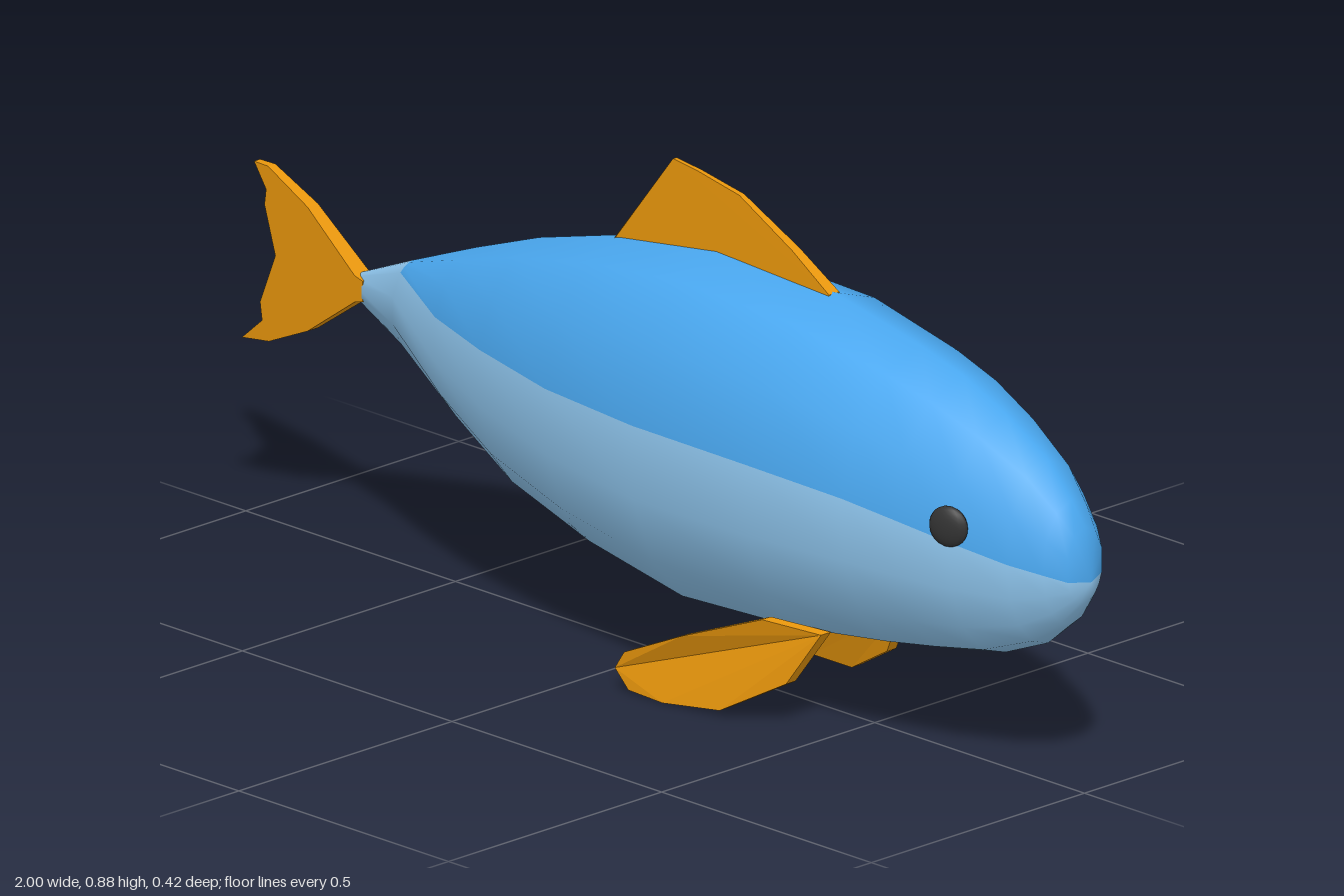
import * as THREE from 'three';

const paint = (color) => new THREE.MeshStandardMaterial({ color });

function named(name, geometry, material) {
  const mesh = new THREE.Mesh(geometry, material);
  mesh.name = name;
  return mesh;
}

// Body: elliptical rings along x, divided into back and belly at the colour line
function bodyGeometries() {
  // x, bottom, top, half width, colour line height, sideways drift
  const stations = [
    [-0.73, 0.445, 0.49, 0.014, 0.485, 0],
    [-0.60, 0.39, 0.545, 0.052, 0.53, 0],
    [-0.45, 0.30, 0.605, 0.104, 0.505, 0],
    [-0.30, 0.22, 0.66, 0.145, 0.495, 0],
    [-0.10, 0.165, 0.715, 0.187, 0.487, 0],
    [0.13, 0.125, 0.747, 0.21, 0.485, 0],
    [0.40, 0.137, 0.737, 0.21, 0.482, -0.003],
    [0.60, 0.162, 0.692, 0.187, 0.465, -0.009],
    [0.70, 0.178, 0.663, 0.165, 0.447, -0.011],
    [0.80, 0.197, 0.62, 0.136, 0.425, -0.012],
    [0.90, 0.238, 0.563, 0.097, 0.40, -0.013],
    [0.955, 0.285, 0.505, 0.067, 0.387, -0.014],
    [0.986, 0.33, 0.465, 0.042, 0.375, -0.015],
    [1.0, 0.37, 0.37, 0, 0.37, -0.016],
  ];
  const upper = 6, lower = 8, around = upper + lower, last = stations.length - 1;
  const positions = [];
  for (const [x, bottom, top, width, line, drift] of stations) {
    const mid = (top + bottom) / 2, half = (top - bottom) / 2;
    const start = half ? Math.asin((line - mid) / half) : 0;
    for (let j = 0; j < around; j++) {
      const angle = j < upper
        ? start + (Math.PI - 2 * start) * j / upper
        : Math.PI - start + (Math.PI + 2 * start) * (j - upper) / lower;
      positions.push(x, mid + half * Math.sin(angle), drift + width * Math.cos(angle));
    }
  }
  // The nose ring is a single shared point
  const id = (i, j) => i * around + (i === last ? 0 : j % around);
  const back = [], belly = [];
  for (let i = 0; i < last; i++) {
    for (let j = 0; j < around; j++) {
      const target = j < upper && i > 0 ? back : belly;
      target.push(id(i, j), id(i + 1, j), id(i, j + 1));
      if (i < last - 1) target.push(id(i + 1, j), id(i + 1, j + 1), id(i, j + 1));
    }
  }
  // Normals come from the whole skin, so shading is smooth over the colour line
  const whole = new THREE.BufferGeometry();
  whole.setAttribute('position', new THREE.Float32BufferAttribute(positions, 3));
  whole.setIndex([...back, ...belly]);
  whole.computeVertexNormals();
  return [back, belly].map((index) => {
    const part = whole.clone();
    part.setIndex(index);
    return part;
  });
}

// Fin: extruded outline, with half thickness and sideways bend given by rules
function finGeometry(outline, halfThickness, bend) {
  const shape = new THREE.Shape(outline.map(([x, y]) => new THREE.Vector2(x, y)));
  const geometry = new THREE.ExtrudeGeometry(shape, { depth: 1, bevelEnabled: false });
  const p = geometry.attributes.position;
  for (let i = 0; i < p.count; i++) {
    const x = p.getX(i), y = p.getY(i);
    p.setZ(i, bend(x, y) + (p.getZ(i) * 2 - 1) * halfThickness(x, y));
  }
  geometry.computeVertexNormals();
  return geometry;
}

export function createModel() {
  const model = new THREE.Group();
  model.name = 'fish';
  const orange = paint(0xe8960c);
  const dark = paint(0x333333);

  const [back, belly] = bodyGeometries();
  model.add(named('back', back, paint(0x4aa8f0)), named('belly', belly, paint(0x8fc6ee)));

  // Back fin, thin at its upper edge
  const dorsal = [
    [-0.14, 0.67], [0.40, 0.69], [0.40, 0.735], [0.31, 0.79],
    [0.18, 0.855], [0.08, 0.873], [0.02, 0.88], [-0.11, 0.71],
  ];
  model.add(named('dorsalFin', finGeometry(
    dorsal, (x, y) => 0.013 - 0.055 * Math.max(0, y - 0.72), () => -0.003), orange));

  // Forked tail, thin at its trailing edge
  const tail = [
    [-0.70, 0.45], [-0.70, 0.487], [-0.72, 0.492], [-0.837, 0.583], [-0.935, 0.63],
    [-0.97, 0.63], [-0.94, 0.588], [-0.944, 0.56], [-0.917, 0.476], [-0.955, 0.385],
    [-0.95, 0.353], [-1.0, 0.31], [-0.933, 0.32], [-0.837, 0.363], [-0.72, 0.445],
  ];
  model.add(named('tailFin', finGeometry(
    tail, (x) => 0.018 + 0.04 * (x + 0.7), () => 0.003), orange));

  // Side fins, curving outward towards the rear
  const side = [
    [0.48, 0.176], [0.377, 0.187], [0.222, 0.128], [0.094, 0.07], [0.072, 0.037],
    [0.104, 0.005], [0.18, 0], [0.297, 0.011], [0.42, 0.08],
  ];
  for (const [name, sign] of [['leftSide', 1], ['rightSide', -1]]) {
    model.add(named(name + 'Fin', finGeometry(
      side, (x) => 0.006 + 0.012 * x,
      (x) => sign * (0.182 - 0.52 * (x - 0.07) ** 2)), orange));

    // Eye, a flattened ball turned to follow the head
    const eye = named(name + 'Eye', new THREE.SphereGeometry(0.036, 16, 12), dark);
    eye.scale.z = 0.4;
    eye.rotation.y = sign * 0.33;
    eye.position.set(0.8, 0.453, sign * 0.13 - 0.008);
    model.add(eye);
  }
  return model;
}
